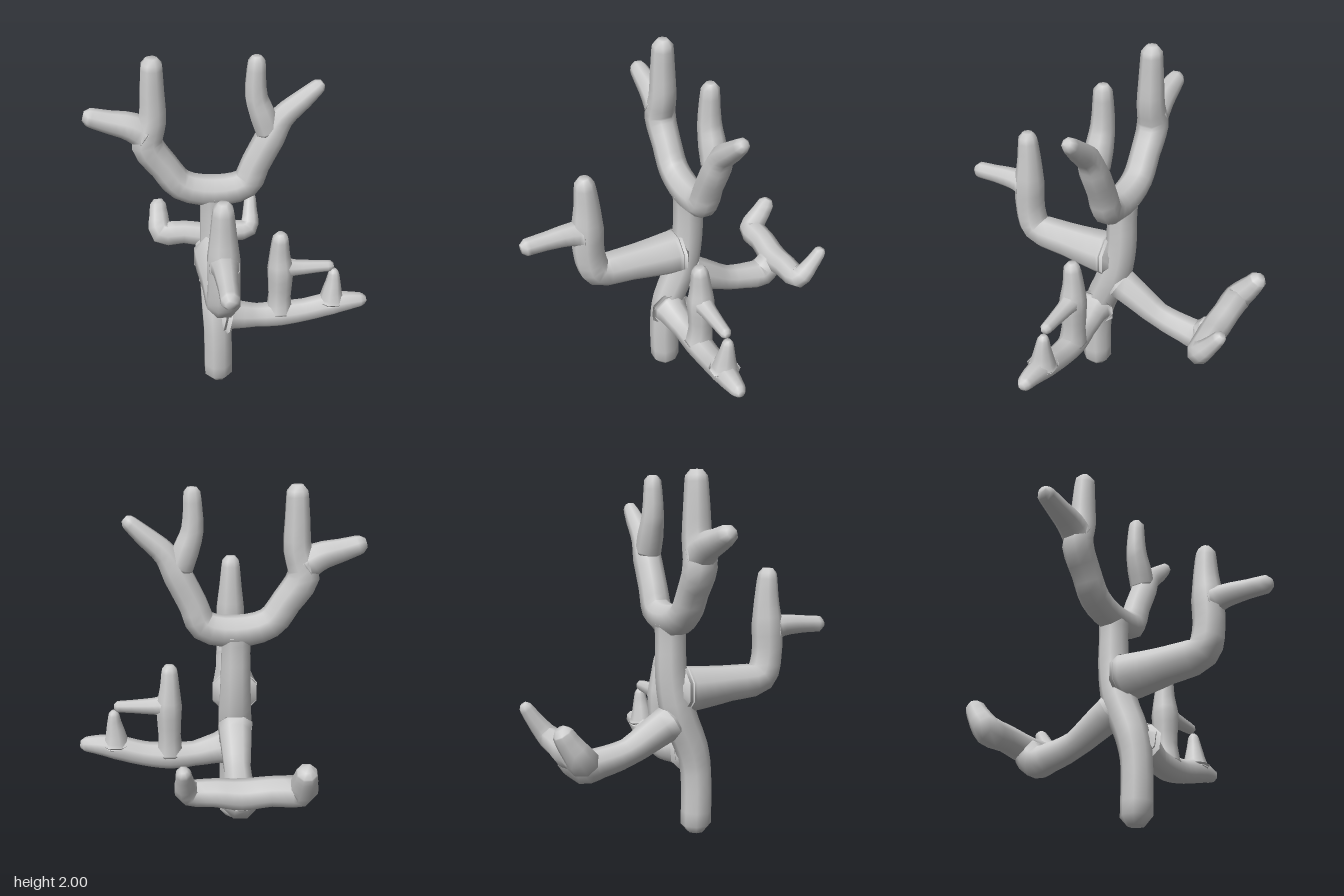
import * as THREE from 'three';

const SIDES = 8;
const STEPS = 3;

// Lofts an eight-sided limb along points [x, y, z, radius], with chamfered ends.
function limbGeometry(points) {
  const curve = new THREE.CatmullRomCurve3(
    points.map(([x, y, z]) => new THREE.Vector3(x, y, z)), false, 'centripetal');
  const spans = points.length - 1;
  const count = spans * STEPS;
  const rings = [];
  for (let i = 0; i <= count; i++) {
    const t = i / count;
    const k = Math.min(Math.floor(t * spans), spans - 1);
    const radius = THREE.MathUtils.lerp(points[k][3], points[k + 1][3], t * spans - k);
    rings.push({ centre: curve.getPoint(t), tangent: curve.getTangent(t), radius });
  }
  // End chamfers: pull the outer ring in and leave a narrower ring at the tip
  const chamfer = (ring, sign) => {
    const tip = { ...ring, centre: ring.centre.clone(), radius: ring.radius * 0.55 };
    ring.centre = ring.centre.clone().addScaledVector(ring.tangent, -sign * ring.radius * 0.55);
    return tip;
  };
  rings.unshift(chamfer(rings[0], -1));
  rings.push(chamfer(rings[rings.length - 1], 1));

  const position = [];
  const index = [];
  const first = rings[0].tangent;
  const normal = Math.abs(first.z) < 0.8 ? new THREE.Vector3(0, 0, 1) : new THREE.Vector3(1, 0, 0);
  for (const { centre, tangent, radius } of rings) {
    // carry the frame along the limb without twist
    normal.addScaledVector(tangent, -normal.dot(tangent)).normalize();
    const side = new THREE.Vector3().crossVectors(tangent, normal);
    for (let j = 0; j < SIDES; j++) {
      const a = (j + 0.5) / SIDES * Math.PI * 2;
      const p = centre.clone()
        .addScaledVector(normal, Math.cos(a) * radius * 1.04)
        .addScaledVector(side, Math.sin(a) * radius * 1.04);
      position.push(p.x, p.y, p.z);
    }
  }
  for (let i = 0; i < rings.length - 1; i++) {
    for (let j = 0; j < SIDES; j++) {
      const a = i * SIDES + j;
      const b = i * SIDES + (j + 1) % SIDES;
      index.push(a, b, b + SIDES, a, b + SIDES, a + SIDES);
    }
  }
  // Flat tips
  const last = (rings.length - 1) * SIDES;
  for (let j = 1; j < SIDES - 1; j++) {
    index.push(0, j + 1, j, last, last + j, last + j + 1);
  }
  const geometry = new THREE.BufferGeometry();
  geometry.setAttribute('position', new THREE.Float32BufferAttribute(position, 3));
  geometry.setIndex(index);
  geometry.computeVertexNormals();
  return geometry;
}

export function createModel() {
  const model = new THREE.Group();
  model.name = 'branchingCoral';
  const material = new THREE.MeshStandardMaterial({ color: 0xcccccc });

  const branch = (name, limbs) => {
    const group = new THREE.Group();
    group.name = name;
    for (const [part, points] of Object.entries(limbs)) {
      const mesh = new THREE.Mesh(limbGeometry(points), material);
      mesh.name = part;
      group.add(mesh);
    }
    model.add(group);
  };

  branch('trunk', {
    trunkStem: [[-0.1, 0.005, 0.05, 0.083], [-0.1, 0.35, 0.05, 0.083], [-0.1, 0.5, 0.02, 0.09],
      [-0.1, 0.7, -0.06, 0.095], [-0.1, 0.9, -0.1, 0.085], [-0.1, 1.1, -0.105, 0.08],
      [-0.1, 1.24, -0.105, 0.085]],
  });

  const cz = -0.105;
  branch('crown', {
    crownFork: [[-0.41, 2, cz, 0.055], [-0.415, 1.82, cz, 0.066], [-0.42, 1.66, cz, 0.075],
      [-0.455, 1.52, cz, 0.086], [-0.37, 1.38, cz, 0.08], [-0.28, 1.26, cz, 0.082],
      [-0.1, 1.215, cz, 0.085], [0.075, 1.25, cz, 0.082], [0.13, 1.37, cz, 0.078],
      [0.21, 1.53, cz, 0.078], [0.27, 1.64, cz, 0.064], [0.38, 1.74, cz, 0.052],
      [0.48, 1.83, cz, 0.036]],
    crownRightTine: [[-0.43, 1.55, cz, 0.085], [-0.53, 1.62, cz, 0.075], [-0.65, 1.655, cz, 0.06],
      [-0.78, 1.695, cz, 0.046]],
    crownLeftTine: [[0.21, 1.53, cz, 0.07], [0.165, 1.66, cz, 0.07], [0.13, 1.77, cz, 0.06],
      [0.13, 1.99, cz, 0.045]],
  });

  branch('frontBranch', {
    frontStem: [[-0.1, 0.83, -0.09, 0.13], [-0.1, 0.83, 0.05, 0.12], [-0.1, 0.84, 0.25, 0.1],
      [-0.1, 0.865, 0.46, 0.09], [-0.1, 0.98, 0.5, 0.084], [-0.1, 1.16, 0.5, 0.085],
      [-0.1, 1.3, 0.495, 0.068], [-0.1, 1.48, 0.5, 0.05]],
    frontTine: [[-0.1, 1.13, 0.5, 0.08], [-0.1, 1.15, 0.6, 0.062], [-0.1, 1.15, 0.74, 0.05],
      [-0.1, 1.145, 0.875, 0.046]],
  });

  branch('leftBranch', {
    leftStem: [[-0.1, 0.47, 0.04, 0.12], [0.0, 0.45, 0.035, 0.085], [0.13, 0.425, 0.02, 0.07],
      [0.27, 0.42, 0.01, 0.075], [0.42, 0.435, 0.01, 0.068], [0.58, 0.475, 0.015, 0.068],
      [0.68, 0.49, 0.02, 0.055], [0.785, 0.495, 0.02, 0.036]],
    leftUprightTine: [[0.27, 0.4, 0.01, 0.08], [0.27, 0.55, 0, 0.065], [0.27, 0.73, 0, 0.075],
      [0.265, 0.84, 0, 0.058], [0.265, 0.98, 0.01, 0.042]],
    leftSideTine: [[0.26, 0.74, 0, 0.065], [0.36, 0.735, 0, 0.046], [0.48, 0.735, 0, 0.036],
      [0.58, 0.735, 0, 0.03]],
    leftOuterTine: [[0.58, 0.46, 0.015, 0.085], [0.58, 0.55, 0.01, 0.06], [0.585, 0.63, 0.005, 0.042],
      [0.585, 0.71, 0, 0.026]],
  });

  branch('backBranch', {
    backStem: [[-0.1, 0.68, -0.06, 0.1], [-0.1, 0.6, -0.2, 0.088], [-0.1, 0.51, -0.36, 0.073],
      [-0.1, 0.47, -0.52, 0.08], [-0.1, 0.46, -0.62, 0.09], [-0.1, 0.56, -0.71, 0.08]],
    backBar: [[-0.41, 0.755, -0.84, 0.048], [-0.41, 0.67, -0.79, 0.062], [-0.395, 0.575, -0.72, 0.08],
      [-0.25, 0.57, -0.715, 0.074], [-0.1, 0.55, -0.705, 0.078], [0.03, 0.565, -0.71, 0.07],
      [0.165, 0.575, -0.72, 0.064], [0.185, 0.67, -0.79, 0.046], [0.19, 0.765, -0.85, 0.034]],
  });

  return model;
}
